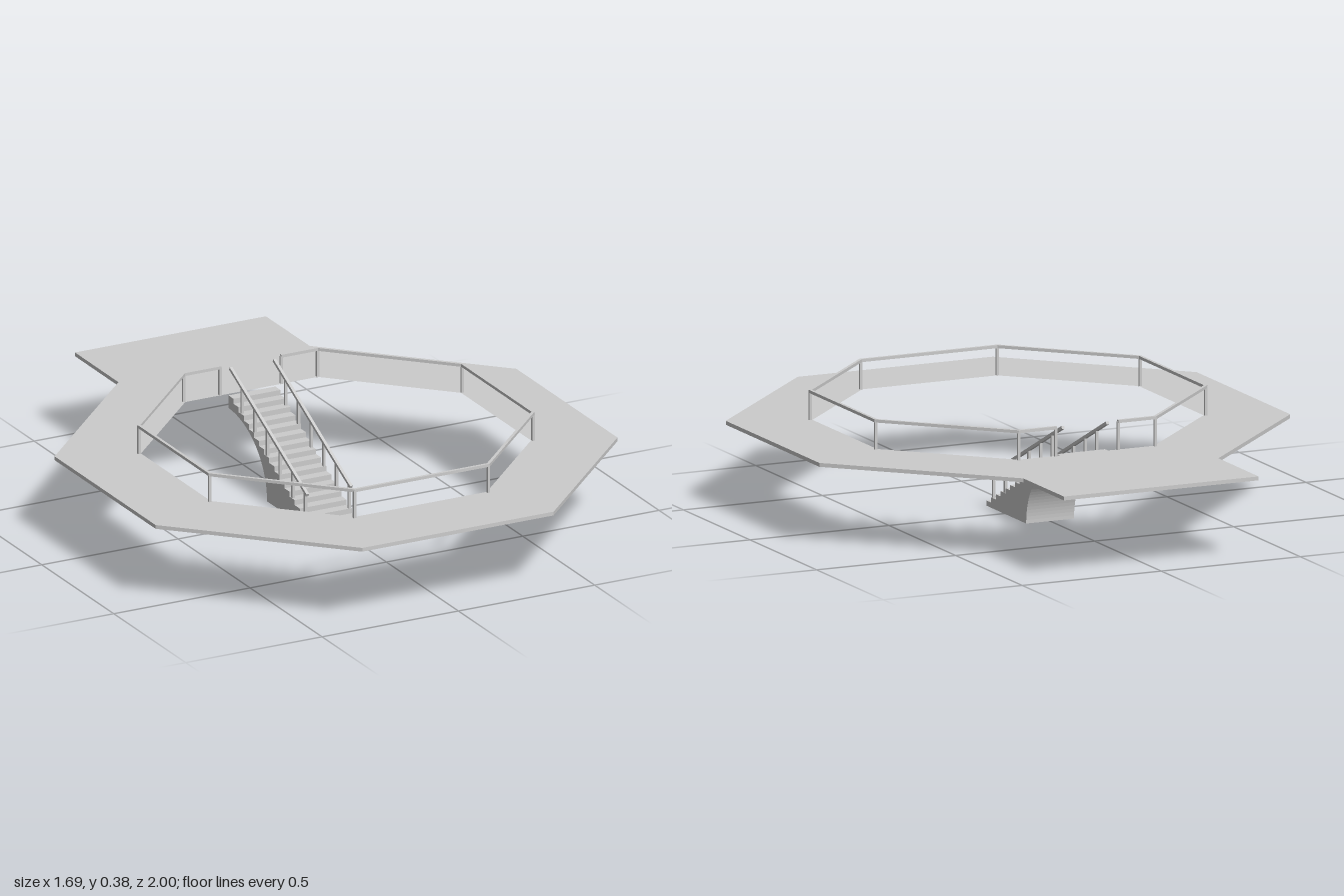
import * as THREE from 'three';

const mat = new THREE.MeshStandardMaterial({ color: 0xcccccc, flatShading: true });
const DECK_BOTTOM = 0.268, DECK_TOP = 0.281, RAIL_Y = 0.376, BAR = 0.01;
const CENTER_Z = 0.15;

function add(parent, geometry, name) {
  const mesh = new THREE.Mesh(geometry, mat);
  mesh.name = name;
  parent.add(mesh);
  return mesh;
}

// Square bar between two points
function bar(parent, a, b, name, extra = 0) {
  const mesh = add(parent, new THREE.BoxGeometry(BAR, BAR, a.distanceTo(b) + extra), name);
  mesh.position.copy(a).add(b).multiplyScalar(0.5);
  mesh.lookAt(b);
}

function post(parent, x, z, y0, y1, name) {
  const size = BAR * 0.9;
  add(parent, new THREE.BoxGeometry(size, y1 - y0, size), name).position.set(x, (y0 + y1) / 2, z);
}

// Octagon corners [x, z], starting at the back on the +x side and running to the front
function octagon(apothem) {
  const r = apothem / Math.cos(Math.PI / 8);
  return Array.from({ length: 8 }, (_, i) => {
    const a = Math.PI / 8 + i * Math.PI / 4;
    return [r * Math.sin(a), CENTER_Z - r * Math.cos(a)];
  });
}

// Octagonal walkway with a rectangular landing at the back
function createDeck() {
  const outline = [...octagon(0.847), [-0.35, -1], [0.35, -1]];
  const toShape = ([x, z]) => new THREE.Vector2(x, -z);
  const shape = new THREE.Shape(outline.map(toShape));
  shape.holes.push(new THREE.Path(octagon(0.587).map(toShape)));
  const geo = new THREE.ExtrudeGeometry(shape, { depth: DECK_TOP - DECK_BOTTOM, bevelEnabled: false });
  geo.rotateX(-Math.PI / 2).translate(0, DECK_BOTTOM, 0);
  const group = new THREE.Group();
  group.name = 'deck';
  add(group, geo, 'walkway');
  return group;
}

// Guard rail round the opening, with a gap at the head of the stairs
function createGuardRail() {
  const group = new THREE.Group();
  group.name = 'guardRail';
  const corners = octagon(0.593);
  const points = [[0.112, corners[0][1]], ...corners, [-0.112, corners[7][1]]];
  points.forEach(([x, z], i) => {
    post(group, x, z, DECK_TOP - 0.002, RAIL_Y, 'guardPost');
    if (i === 0) return;
    const [px, pz] = points[i - 1];
    bar(group, new THREE.Vector3(px, RAIL_Y, pz), new THREE.Vector3(x, RAIL_Y, z), 'guardRailBar', 0.004);
  });
  return group;
}

// Solid staircase with an arched underside
function createStairs() {
  const group = new THREE.Group();
  group.name = 'stairs';
  const steps = 16, front = 0.132, back = -0.434, width = 0.172;
  const run = (front - back) / steps, rise = (DECK_TOP - 0.004) / steps;

  // Side profile: horizontal axis is -z
  const profile = new THREE.Shape();
  profile.moveTo(-front, 0);
  for (let i = 0; i < steps; i++) {
    profile.lineTo(-front + i * run, (i + 1) * rise);
    profile.lineTo(-front + (i + 1) * run, (i + 1) * rise);
  }
  profile.lineTo(-back, 0.233);
  profile.absellipse(-back, 0, 0.268, 0.233, Math.PI / 2, Math.PI, false, 0);
  profile.closePath();
  const geo = new THREE.ExtrudeGeometry(profile, { depth: width, bevelEnabled: false, curveSegments: 16 });
  geo.rotateY(Math.PI / 2).translate(-width / 2, 0, 0);
  add(group, geo, 'flight');

  // Sloping handrails with posts on the steps
  const railY = z => 0.112 + (0.104 - z) * 0.486;
  for (const side of [-1, 1]) {
    const x = side * 0.08;
    bar(group, new THREE.Vector3(x, railY(0.104), 0.104), new THREE.Vector3(x, railY(-0.43), -0.43), 'handrail');
    for (let i = 0; i < 6; i++) {
      const z = 0.09 - i * 0.088;
      const stepY = (Math.floor((front - z) / run) + 1) * rise;
      post(group, x, z, stepY - 0.004, railY(z), 'handrailPost');
    }
  }
  return group;
}

export function createModel() {
  const model = new THREE.Group();
  model.name = 'platformWithStairs';
  model.add(createDeck(), createGuardRail(), createStairs());
  return model;
}
